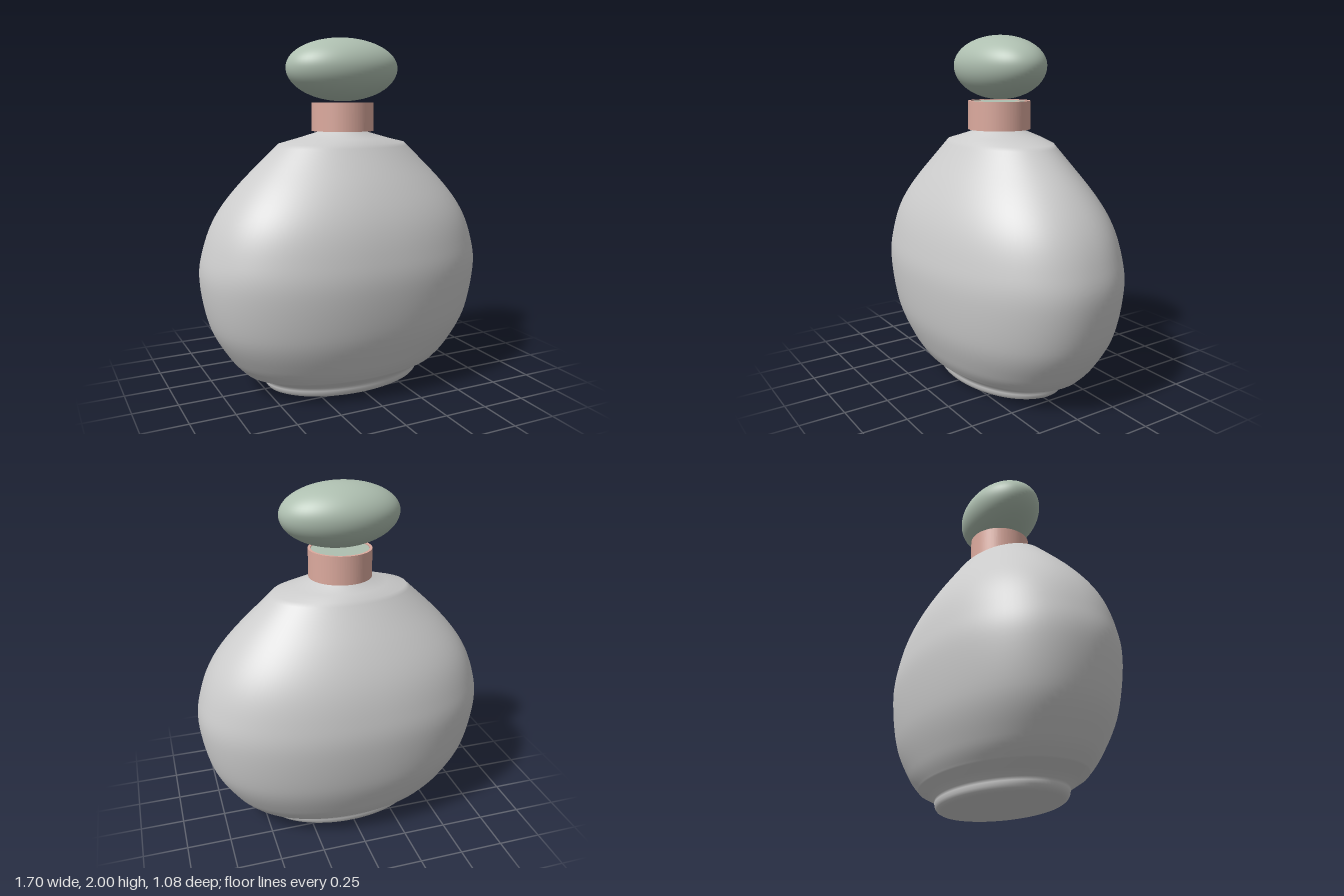
import * as THREE from 'three';
import { mergeVertices } from 'three/addons/utils/BufferGeometryUtils.js';

const v2 = (x, y) => new THREE.Vector2(x, y);

// Weld the lathe seam and recompute smooth normals
function smooth(geometry) {
  geometry.deleteAttribute('uv');
  geometry.deleteAttribute('normal');
  const welded = mergeVertices(geometry, 1e-5);
  welded.computeVertexNormals();
  return welded;
}

// Flattened oval body with foot, shoulder and round neck
function bodyGeometry() {
  const side = new THREE.SplineCurve([
    v2(0.615, 0.12), v2(0.695, 0.21), v2(0.8, 0.4), v2(0.85, 0.66), v2(0.825, 0.84),
    v2(0.75, 1.02), v2(0.61, 1.2), v2(0.39, 1.41),
  ]).getPoints(48);
  const foot = [
    v2(0, 0), v2(0.43, 0), v2(0.455, 0.003), v2(0.475, 0.012), v2(0.488, 0.027),
    v2(0.493, 0.045), v2(0.493, 0.062), v2(0.55, 0.09),
  ];
  const neck = [v2(0.27, 1.438), v2(0.145, 1.472), v2(0.14, 1.5)];
  const g = new THREE.LatheGeometry([...foot, ...side, ...neck], 96);
  const p = g.attributes.position;
  for (let i = 0; i < p.count; i++) {
    const x = p.getX(i), y = p.getY(i), z = p.getZ(i), r = Math.hypot(x, z);
    if (r < 1e-6) continue;
    const c = Math.abs(x / r), s = Math.abs(z / r);
    // Slightly full oval in the belly, plain ellipse elsewhere, circle at the neck
    const n = 2 + 0.2 * THREE.MathUtils.smoothstep(r, 0.5, 0.8);
    const k = 1 / Math.pow(c ** n + s ** n, 1 / n);
    const depth = THREE.MathUtils.lerp(0.635, 1, THREE.MathUtils.smoothstep(y, 1.41, 1.472));
    p.setXYZ(i, x * k, y, z * k * depth);
  }
  return smooth(g);
}

export function createModel() {
  const group = new THREE.Group();
  const glass = new THREE.MeshStandardMaterial({ color: 0xcccccc, side: THREE.DoubleSide });
  glass.name = 'pale grey';
  const copper = new THREE.MeshStandardMaterial({ color: 0xdcaa9e });
  copper.name = 'rose';
  const sage = new THREE.MeshStandardMaterial({ color: 0xaebfb0 });
  sage.name = 'sage green';

  const add = (name, geometry, material) => {
    const mesh = new THREE.Mesh(geometry, material);
    mesh.name = name;
    group.add(mesh);
    return mesh;
  };

  add('body', bodyGeometry(), glass).rotation.y = 0.04;

  // Collar ring, extruded with a round hole
  const ring = new THREE.Shape().absarc(0, 0, 0.178, 0, Math.PI * 2);
  ring.holes.push(new THREE.Path().absarc(0, 0, 0.163, 0, Math.PI * 2, true));
  const collarGeometry = new THREE.ExtrudeGeometry(ring, { depth: 0.16, bevelEnabled: false, curveSegments: 64 });
  collarGeometry.rotateX(-Math.PI / 2);
  add('collar', collarGeometry, copper).position.y = 1.478;

  // Underside of the collar
  const base = add('collarBase', new THREE.CylinderGeometry(0.17, 0.17, 0.02, 64), copper);
  base.position.y = 1.489;

  // Stopper plug inside the collar
  const plug = add('stopperPlug', new THREE.CylinderGeometry(0.161, 0.161, 0.13, 64), sage);
  plug.position.y = 1.568;

  // Egg-shaped stopper, a little deeper below its widest line
  const egg = new THREE.SphereGeometry(1, 64, 40);
  const p = egg.attributes.position;
  for (let i = 0; i < p.count; i++) {
    const y = p.getY(i);
    p.setXYZ(i, p.getX(i) * 0.337, 1.832 + y * (y > 0 ? 0.168 : 0.186), p.getZ(i) * 0.222);
  }
  add('stopper', smooth(egg), sage);

  return group;
}
